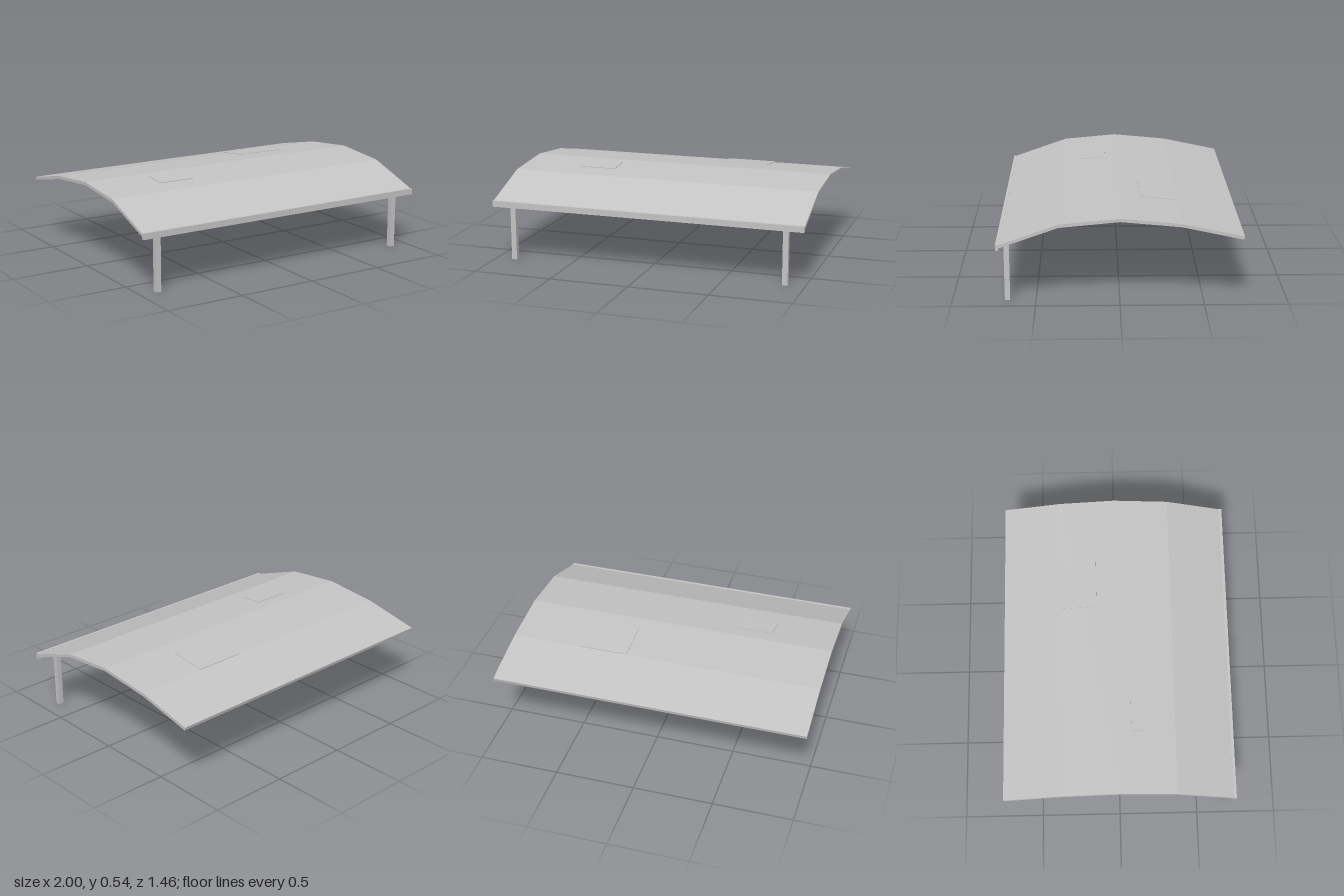
import * as THREE from 'three';

export function createModel() {
  const root = new THREE.Group();
  const grey = new THREE.MeshStandardMaterial({ color: 0xc4c4c4, flatShading: true });
  grey.name = 'light grey';

  const add = (name, geometry, x = 0, y = 0, z = 0) => {
    const mesh = new THREE.Mesh(geometry, grey);
    mesh.name = name;
    mesh.position.set(x, y, z);
    root.add(mesh);
    return mesh;
  };

  // Folded roof sheet: a [z, y] section stretched along x
  const top = [[0.71, 0.381], [0.355, 0.506], [0, 0.538], [-0.36, 0.504], [-0.728, 0.426]];
  const under = [[-0.724, 0.406], [-0.36, 0.484], [0, 0.518], [0.36, 0.484], [0.71, 0.361]];
  const section = new THREE.Shape([...top, ...under].map(([z, y]) => new THREE.Vector2(-z, y)));
  const roof = new THREE.ExtrudeGeometry(section, { depth: 2, bevelEnabled: false });
  roof.translate(0, 0, -1).rotateY(Math.PI / 2);
  add('roof', roof);

  // Front edge board
  add('fascia', new THREE.BoxGeometry(2, 0.038, 0.019), 0, 0.364, 0.719);

  // Front posts
  for (const side of [-1, 1]) {
    add(side > 0 ? 'leftPost' : 'rightPost', new THREE.BoxGeometry(0.034, 0.354, 0.032), side * 0.88, 0.177, 0.671);
  }

  // Thin skylight panels hovering just above the two upper slopes
  const panel = (name, x0, x1, [za, ya], [zb, yb]) => {
    const length = Math.hypot(za - zb, ya - yb);
    const mesh = add(name, new THREE.BoxGeometry(x1 - x0, 0.004, length),
      (x0 + x1) / 2, (ya + yb) / 2, (za + zb) / 2);
    mesh.rotation.x = -Math.atan2(ya - yb, za - zb);
  };
  panel('frontSkylight', -0.6, -0.365, [0.235, 0.528], [0.078, 0.541]);
  panel('rearSkylight', 0.24, 0.555, [-0.127, 0.54], [-0.364, 0.512]);

  return root;
}
